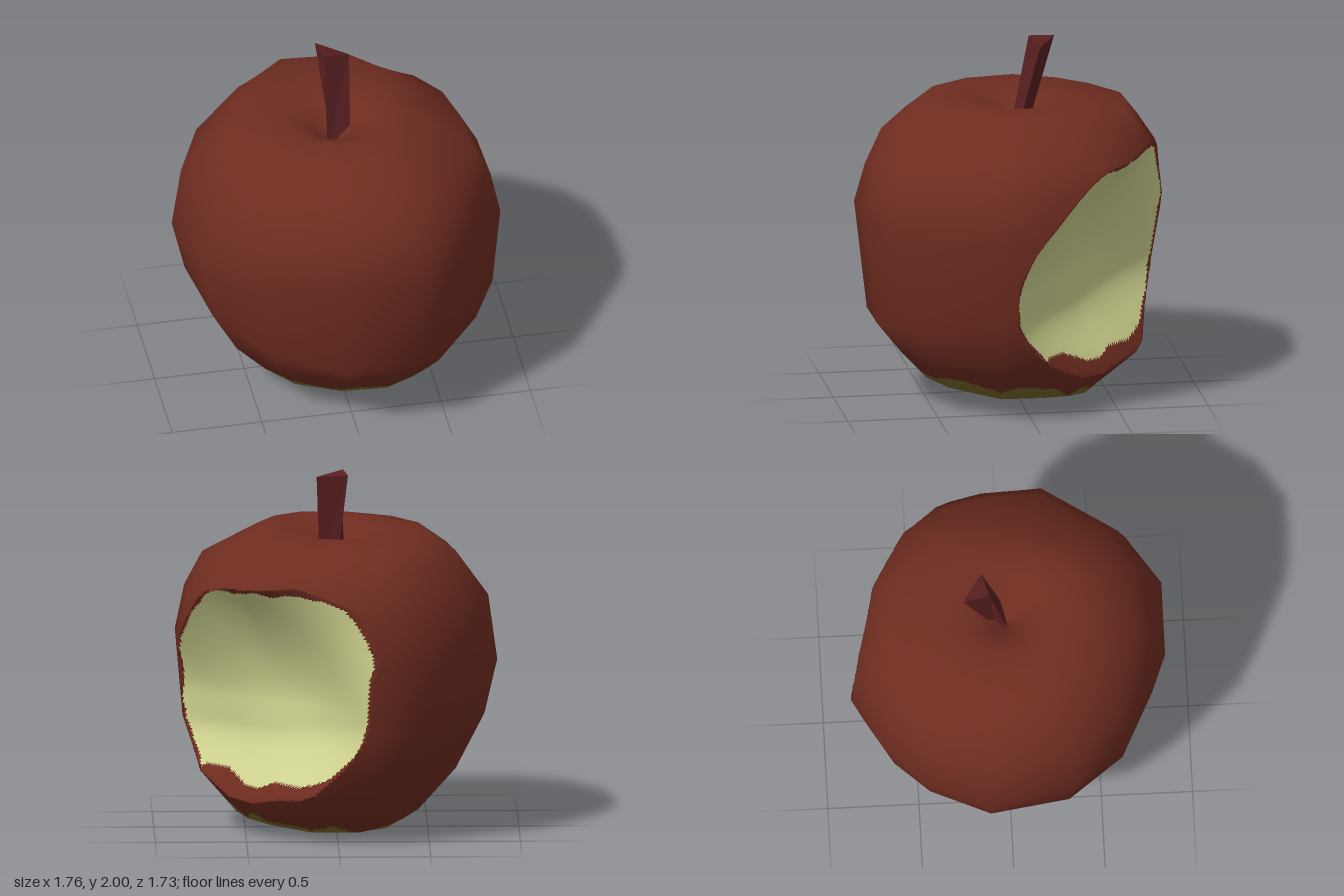
import * as THREE from 'three';
import { toCreasedNormals } from 'three/addons/utils/BufferGeometryUtils.js';

const material = (name, color) => {
  const m = new THREE.MeshStandardMaterial({ color });
  m.name = name;
  return m;
};
const smooth = THREE.MathUtils.smoothstep;

// Widest ring of the apple seen from above (x, z), from the front round to the left side
const RING = [
  [-0.09, 0.87], [0.33, 0.87], [0.6, 0.69], [0.88, 0.25], [0.865, -0.1], [0.8, -0.38], [0.65, -0.6],
  [0.28, -0.84], [-0.25, -0.87], [-0.53, -0.7], [-0.72, -0.49], [-0.88, -0.13], [-0.8, 0.34], [-0.52, 0.67],
];
// Half outlines (radius, y) from bottom hollow to top hollow: front, left, back, right
const OUTLINES = [
  [[0, 0.13], [0.12, 0.11], [0.33, 0.06], [0.51, 0.15], [0.65, 0.3], [0.81, 0.48], [0.88, 1.09],
    [0.82, 1.3], [0.73, 1.5], [0.54, 1.66], [0.32, 1.7], [0.12, 1.58], [0, 1.48]],
  [[0, 0.13], [0.12, 0.11], [0.24, 0.03], [0.56, 0.1], [0.76, 0.33], [0.84, 0.59], [0.88, 1.06],
    [0.83, 1.31], [0.73, 1.5], [0.43, 1.665], [0.25, 1.665], [0.12, 1.58], [0, 1.48]],
  [[0, 0.13], [0.1, 0.1], [0.18, 0.01], [0.42, 0.03], [0.72, 0.28], [0.79, 0.6], [0.87, 1.03],
    [0.83, 1.33], [0.74, 1.47], [0.64, 1.61], [0.28, 1.64], [0.12, 1.58], [0, 1.48]],
  [[0, 0.13], [0.12, 0.1], [0.28, 0], [0.45, 0.11], [0.65, 0.34], [0.81, 0.65], [0.88, 0.95],
    [0.83, 1.31], [0.65, 1.55], [0.49, 1.655], [0.24, 1.65], [0.12, 1.58], [0, 1.48]],
];

// Index list of a grid that closes round its columns
function gridFaces(rows, cols) {
  const faces = [];
  for (let i = 0; i < rows; i++) {
    for (let j = 0; j < cols; j++) {
      const k = (j + 1) % cols;
      const a = i * cols + j, b = i * cols + k, c = b + cols, d = a + cols;
      faces.push([a, b, c], [a, c, d]);
    }
  }
  return faces;
}

function makeGeometry(positions, faces) {
  const g = new THREE.BufferGeometry();
  g.setAttribute('position', new THREE.Float32BufferAttribute(positions, 3));
  g.setIndex(faces.flat());
  return g;
}

// Coarse whole apple, blending the four outlines round the ring
function buildCoarse() {
  const positions = [];
  for (let i = 0; i < OUTLINES[0].length; i++) {
    const shift = i < 2 ? 0.06 : 0; // the bottom hollow sits off centre
    for (const [px, pz] of RING) {
      const quarter = ((Math.atan2(px, pz) / Math.PI) * 2 + 4) % 4;
      const q = Math.floor(quarter), f = smooth(quarter - q, 0, 1);
      const p = OUTLINES[q][i], n = OUTLINES[(q + 1) % 4][i];
      const r = THREE.MathUtils.lerp(p[0], n[0], f) / 0.88;
      positions.push(px * r + shift, THREE.MathUtils.lerp(p[1], n[1], f), pz * r + shift);
    }
  }
  const g = makeGeometry(positions, gridFaces(OUTLINES[0].length - 1, RING.length));
  g.computeVertexNormals();
  return g;
}

// Depth of the bite floor along the back-left diagonal, across t and height y
function biteDepth(t, y) {
  const floor = 0.42 + (t < 0 ? 0.27 : 0.03) * t * t + 0.02 * Math.sin(t * 6 + y * 4);
  const ramp = 0.22 * (1 - smooth(y, 0.12, 0.6 + 0.15 * Math.max(0, t)));
  const rise = Math.max(0, (y - 0.75) / 0.67);
  const roof = 0.38 * Math.pow(rise, 1.6) * (1 - 1.2 * Math.max(0, t));
  return floor + ramp + roof + (y > 1.45 ? 1 : 0);
}

function buildBody(skin, flesh, base) {
  const SUB_V = 16, SUB_U = 20, S = Math.SQRT1_2;
  const cols = RING.length * SUB_U, rows = (OUTLINES[0].length - 1) * SUB_V;
  const coarse = buildCoarse();
  const corner = new THREE.Vector3();
  const sample = (attribute, i, j) => {
    const u = j / SUB_U, v = Math.min(i / SUB_V, OUTLINES[0].length - 1.0001);
    const u0 = Math.floor(u), v0 = Math.floor(v);
    const out = new THREE.Vector3();
    for (const [du, dv] of [[0, 0], [1, 0], [0, 1], [1, 1]]) {
      const index = (v0 + dv) * RING.length + ((u0 + du) % RING.length);
      const weight = (du ? u - u0 : 1 - u + u0) * (dv ? v - v0 : 1 - v + v0);
      out.addScaledVector(corner.fromBufferAttribute(attribute, index), weight);
    }
    return out;
  };

  const positions = [], normals = [], zone = [];
  for (let i = 0; i <= rows; i++) {
    for (let j = 0; j < cols; j++) {
      const p = sample(coarse.attributes.position, i, j);
      const { x, y, z } = p;

      // push the surface in where the bite was taken
      const d = (x - z) * S, t = -(x + z) * S;
      const cut = Math.max(0, d - biteDepth(t, y));
      p.x -= cut * S;
      p.z += cut * S;

      // colour zone with wavy borders: 0 skin, 1 flesh, 2 base, 3 skin inside the bite
      const a = (j / cols) * Math.PI * 2;
      const wave = Math.sin(a * 8) + 0.5 * Math.sin(a * 13 + 1);
      const isFlesh = cut > 0.02 + 0.01 * Math.sin(y * 19 + t * 13)
        && y < 1.39 + 0.01 * Math.sin(t * 25)
        && y > 0.29 + 0.18 * Math.abs(t) + 0.02 * Math.sin(t * 15);
      const isBase = i < rows / 2 && y < 0.185 + 0.013 * wave
        && Math.hypot(x - 0.07, z - 0.07) > 0.185 + 0.008 * wave
        && Math.hypot(x - 0.1, z - 0.08) < 0.52 + 0.015 * wave;
      zone.push(isFlesh ? 1 : cut > 0 ? 3 : isBase ? 2 : 0);
      positions.push(...p.toArray());
      normals.push(...sample(coarse.attributes.normal, i, j).normalize().toArray());
    }
  }

  // sort the faces into one list per zone
  const faces = [[], [], [], []];
  for (const tri of gridFaces(rows, cols)) {
    const votes = [0, 0, 0, 0];
    tri.forEach((v) => votes[zone[v]]++);
    faces[votes.indexOf(Math.max(...votes))].push(tri);
  }

  const body = new THREE.Group();
  body.name = 'apple';
  [['skin', skin], ['bite', flesh], ['basePatch', base], ['biteRim', skin]].forEach(([name, mat], n) => {
    let g = makeGeometry(positions, faces[n]);
    if (n % 2) g = toCreasedNormals(g, 0.8);
    else g.setAttribute('normal', new THREE.Float32BufferAttribute(normals, 3));
    const mesh = new THREE.Mesh(g, mat);
    mesh.name = name;
    body.add(mesh);
  });
  return body;
}

// Three-sided stem leaning to the back and widening at its tip
function buildStem(mat) {
  const bottom = [[0, 1.43, -0.06], [-0.04, 1.43, 0.02], [0.09, 1.43, 0.01]];
  const top = [[-0.06, 1.99, -0.235], [-0.035, 2, -0.09], [0.11, 1.965, -0.13]];
  const points = [...top];
  for (let i = 0; i < 3; i++) {
    const k = (i + 1) % 3;
    points.push(bottom[i], bottom[k], top[k], bottom[i], top[k], top[i]);
  }
  const g = new THREE.BufferGeometry();
  g.setAttribute('position', new THREE.Float32BufferAttribute(points.flat(), 3));
  g.computeVertexNormals();
  const stem = new THREE.Mesh(g, mat);
  stem.name = 'stem';
  return stem;
}

export function createModel() {
  const model = new THREE.Group();
  model.name = 'bittenApple';
  const skin = material('red skin', 0x6e2c20);
  const flesh = material('pale flesh', 0xcfd38f);
  const base = material('olive base', 0x746627);
  const bark = material('brown stem', 0x581f20);
  model.add(buildBody(skin, flesh, base), buildStem(bark));
  return model;
}
